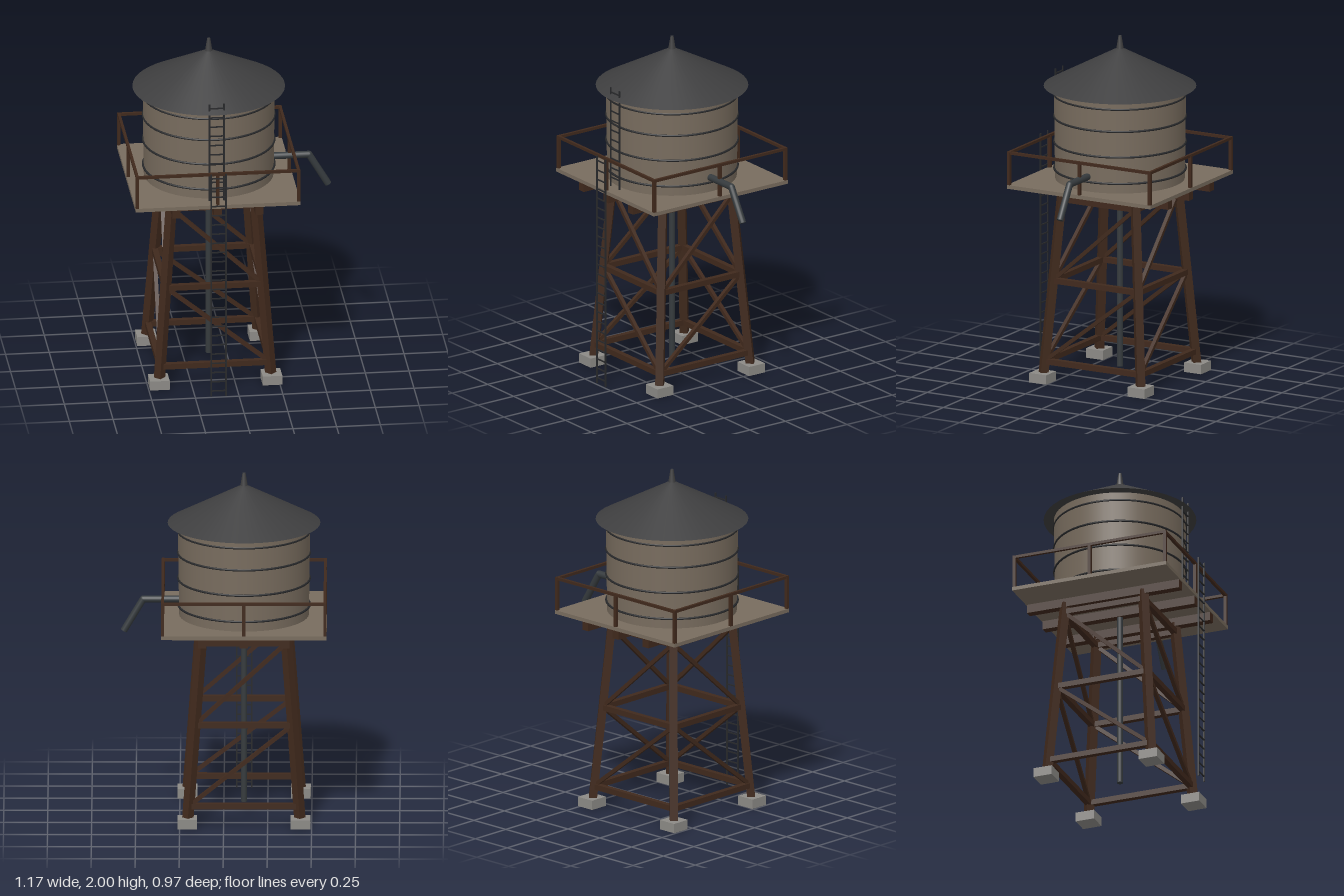
import * as THREE from 'three';

const mat = (name, color) => {
  const m = new THREE.MeshStandardMaterial({ color });
  m.name = name;
  return m;
};

export function createModel() {
  const weathered = mat('weathered wood', 0x786c5e);
  const timber = mat('dark timber', 0x40291c);
  const roofing = mat('roof metal', 0x3e3e3f);
  const iron = mat('black iron', 0x28292b);
  const pipeMetal = mat('pipe metal', 0x353a3d);
  const concrete = mat('concrete', 0x8c8a86);

  const model = new THREE.Group();
  model.name = 'waterTower';
  // Everything is arranged around the tank axis
  const tower = new THREE.Group();
  tower.name = 'tower';
  tower.position.set(-0.115, 0, -0.015);
  model.add(tower);

  const V = (x, y, z) => new THREE.Vector3(x, y, z);
  const add = (name, geometry, material, x = 0, y = 0, z = 0) => {
    const mesh = new THREE.Mesh(geometry, material);
    mesh.name = name;
    mesh.position.set(x, y, z);
    tower.add(mesh);
    return mesh;
  };
  const box = (name, w, h, d, material, x, y, z) =>
    add(name, new THREE.BoxGeometry(w, h, d), material, x, y, z);
  // Square beam between two points
  const beam = (name, a, b, size, material = timber) => {
    const mesh = box(name, size, size, a.distanceTo(b), material, 0, 0, 0);
    mesh.position.copy(a).add(b).multiplyScalar(0.5);
    mesh.lookAt(b.clone().add(tower.position));
    return mesh;
  };
  // Round pipe between two points
  const pipe = (name, a, b, r) => {
    const mesh = add(name, new THREE.CylinderGeometry(r, r, a.distanceTo(b), 16), pipeMetal);
    mesh.position.copy(a).add(b).multiplyScalar(0.5);
    mesh.quaternion.setFromUnitVectors(V(0, 1, 0), b.clone().sub(a).normalize());
  };

  // Half spacing of the splayed legs at height y
  const spread = (y) => 0.318 - 0.079 * (y - 0.05) / 1.07;

  // Legs and footings
  for (const sx of [-1, 1]) for (const sz of [-1, 1]) {
    const a = spread(0.05), b = spread(1.12);
    beam('leg', V(sx * a, 0.05, sz * a), V(sx * b, 1.12, sz * b), 0.046);
    box('footing', 0.112, 0.055, 0.112, concrete, sx * 0.322, 0.0275, sz * 0.322);
  }

  // Horizontal girts on all four sides
  const levels = [0.12, 0.59, 1.065];
  for (const y of levels) {
    const s = spread(y);
    for (const k of [-1, 1]) {
      box('girt', 2 * s, 0.032, 0.032, timber, 0, y, k * s);
      box('girt', 0.032, 0.032, 2 * s, timber, k * s, y, 0);
    }
  }

  // Diagonal braces, one per bay
  for (let i = 0; i < 2; i++) {
    const y0 = levels[i], y1 = levels[i + 1];
    const a = spread(y0), b = spread(y1);
    for (const k of [-1, 1]) {
      beam('brace', V(-b, y1, k * b), V(a, y0, k * a), 0.022);
      beam('brace', V(k * b, y1, -b), V(k * a, y0, a), 0.022);
    }
  }

  // Joists and deck
  for (const x of [-0.237, 0, 0.237])
    box('joist', 0.046, 0.052, 0.93, timber, x, 1.12, 0);
  box('deck', 0.942, 0.022, 0.942, weathered, 0, 1.156, 0);

  // Guard rail
  const R = 0.461;
  for (const x of [-1, 0, 1]) for (const z of [-1, 0, 1])
    if (x || z) box('railPost', 0.018, 0.19, 0.018, timber, x * R, 1.262, z * R);
  for (const k of [-1, 1]) {
    box('topRail', 2 * R + 0.018, 0.016, 0.016, timber, 0, 1.355, k * R);
    box('topRail', 0.016, 0.016, 2 * R + 0.018, timber, k * R, 1.355, 0);
  }

  // Tank with iron hoops
  add('tank', new THREE.CylinderGeometry(0.376, 0.369, 0.545, 48), weathered, 0, 1.4375, 0);
  for (const y of [1.225, 1.38, 1.53, 1.66]) {
    const hoop = add('hoop', new THREE.TorusGeometry(0.374, 0.0065, 8, 48), iron, 0, y, 0);
    hoop.rotation.x = Math.PI / 2;
  }

  // Conical roof and finial
  add('roof', new THREE.ConeGeometry(0.434, 0.23, 48), roofing, 0, 1.822, 0);
  add('finial', new THREE.CylinderGeometry(0.009, 0.022, 0.08, 16), roofing, 0, 1.96, 0);

  // Riser pipe and bent spout
  pipe('riserPipe', V(0, 0.06, 0), V(0, 1.146, 0), 0.018);
  const elbow = V(0.573, 1.254, 0);
  pipe('spoutArm', V(0.35, 1.254, 0), elbow, 0.02);
  pipe('spoutDrop', elbow, V(0.683, 1.068, 0), 0.02);
  add('spoutElbow', new THREE.SphereGeometry(0.02, 16, 12), pipeMetal, elbow.x, elbow.y, 0);

  // Ladders: ground to deck rail, and deck to roof
  const ladder = (name, y0, y1, z) => {
    for (const k of [-1, 1])
      box(name + 'Stile', 0.009, y1 - y0, 0.007, iron, k * 0.042, (y0 + y1) / 2, z);
    for (let y = y1 - 0.027; y > y0 + 0.02; y -= 0.057)
      box(name + 'Rung', 0.084, 0.007, 0.006, iron, 0, y, z);
  };
  ladder('lowerLadder', 0, 1.37, 0.498);
  ladder('upperLadder', 1.167, 1.762, 0.4);

  return model;
}
